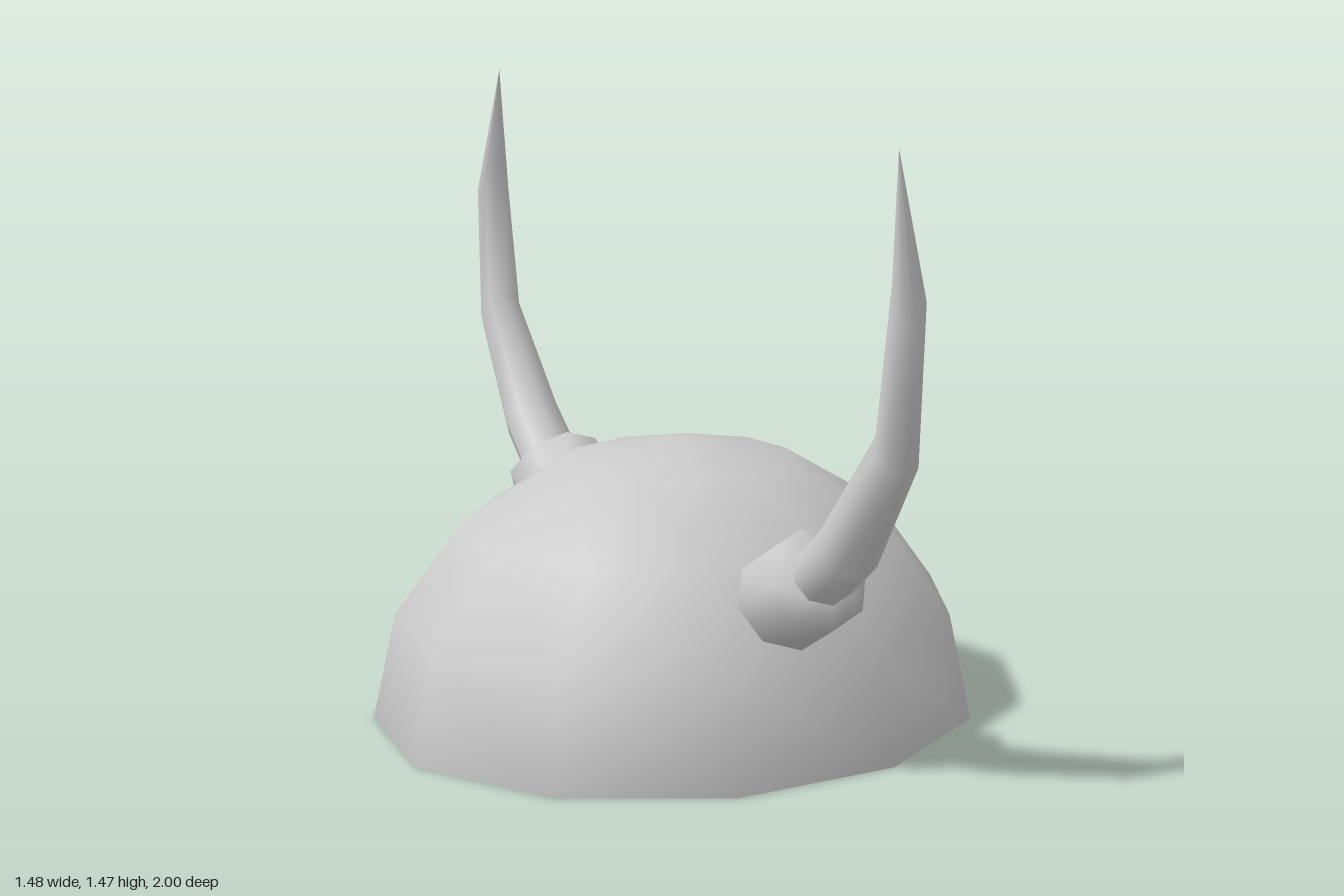
import * as THREE from 'three';

const material = new THREE.MeshStandardMaterial({ color: 0xcccccc, side: THREE.DoubleSide });
const SIDES = 8;

// Smooth loft through oval rings: [top z, top y, bottom z, bottom y, half width in x]
function loft(rings) {
  const pos = [], index = [];
  for (const [tz, ty, bz, by, rx] of rings) {
    for (let j = 0; j < SIDES; j++) {
      const t = (j / SIDES) * Math.PI * 2, c = Math.cos(t) / 2;
      pos.push(rx * Math.sin(t), (ty + by) / 2 + (ty - by) * c, (tz + bz) / 2 + (tz - bz) * c);
    }
  }
  for (let i = 0; i < rings.length - 1; i++) {
    for (let j = 0; j < SIDES; j++) {
      const k = (j + 1) % SIDES;
      const a = i * SIDES + j, b = i * SIDES + k, c = a + SIDES, d = b + SIDES;
      index.push(a, c, b, b, c, d);
    }
  }
  const g = new THREE.BufferGeometry();
  g.setAttribute('position', new THREE.Float32BufferAttribute(pos, 3));
  g.setIndex(index);
  g.computeVertexNormals();
  return g;
}

export function createModel() {
  const model = new THREE.Group();
  model.name = 'hornedHelmet';

  // Open oval dome, eleven sides and four bands
  const domeGeo = new THREE.SphereGeometry(1, 11, 4, -Math.PI / 2, Math.PI * 2, 0, Math.PI / 2);
  domeGeo.scale(0.75, 0.675, 0.67);
  const dome = new THREE.Mesh(domeGeo, material);
  dome.name = 'dome';
  model.add(dome);

  // Stubby socket with bevelled ends, poking through the dome wall
  const socketGeo = loft([
    [0.42, 0.34, 0.42, 0.34, 0],
    [0.39, 0.405, 0.466, 0.287, 0.075],
    [0.385, 0.465, 0.52, 0.261, 0.13],
    [0.565, 0.575, 0.7, 0.371, 0.13],
    [0.624, 0.548, 0.7, 0.43, 0.08],
    [0.662, 0.489, 0.662, 0.489, 0],
  ]);

  // Upswept horn tapering to a point
  const hornGeo = loft([
    [0.594, 0.522, 0.67, 0.404, 0.08],
    [0.624, 0.548, 0.7, 0.43, 0.08],
    [0.715, 0.634, 0.806, 0.516, 0.075],
    [0.909, 0.876, 0.973, 0.78, 0.057],
    [0.952, 1.204, 1.0, 1.1, 0.045],
    [0.93, 1.473, 0.93, 1.473, 0],
  ]);

  for (const [side, turn] of [['front', 0], ['back', Math.PI]]) {
    const group = new THREE.Group();
    group.name = side + 'HornAssembly';
    const socket = new THREE.Mesh(socketGeo, material);
    socket.name = side + 'Socket';
    const horn = new THREE.Mesh(hornGeo, material);
    horn.name = side + 'Horn';
    group.add(socket, horn);
    group.rotation.y = turn;
    model.add(group);
  }
  return model;
}
